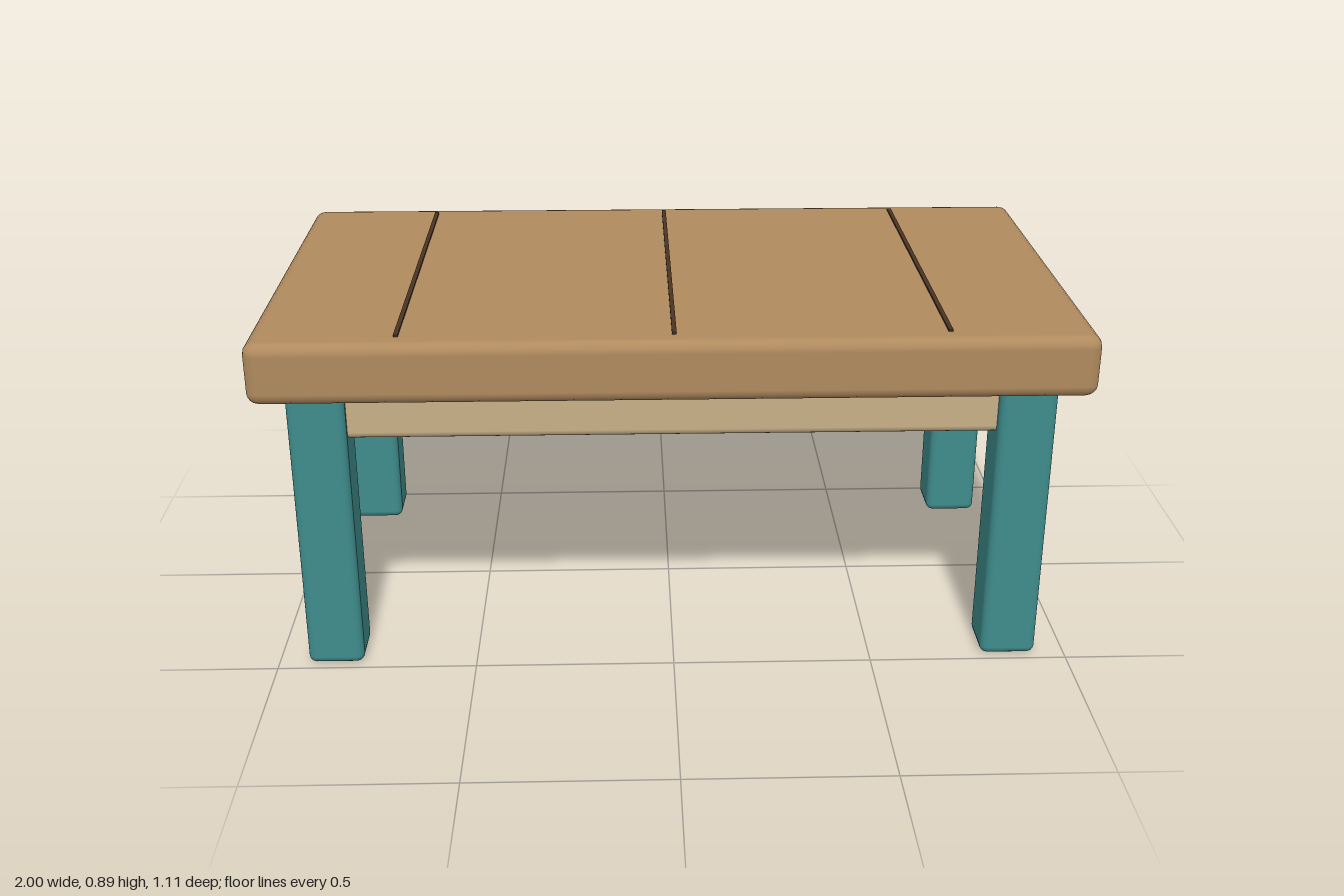
import * as THREE from 'three';
import { RoundedBoxGeometry } from 'three/addons/geometries/RoundedBoxGeometry.js';

export function createModel() {
  const model = new THREE.Group();
  model.name = 'table';

  const wood = new THREE.MeshStandardMaterial({ color: 0xb08a5e });
  const teal = new THREE.MeshStandardMaterial({ color: 0x3f8c8c });
  const paleWood = new THREE.MeshStandardMaterial({ color: 0xc8b088 });
  const darkWood = new THREE.MeshStandardMaterial({ color: 0x4a3422 });

  const add = (name, geometry, material, x, y, z) => {
    const mesh = new THREE.Mesh(geometry, material);
    mesh.name = name;
    mesh.position.set(x, y, z);
    model.add(mesh);
  };

  // Thick top with softened edges
  add('tableTop', new RoundedBoxGeometry(2, 0.153, 1.106, 2, 0.03), wood, 0, 0.8135, 0);

  // Dark plank seams, just proud of the top
  const seam = new THREE.BoxGeometry(0.011, 0.012, 1);
  for (const x of [-0.648, 0, 0.648]) add('plankSeam', seam, darkWood, x, 0.889, 0);

  // Square legs, one in each corner
  const leg = new RoundedBoxGeometry(0.14, 0.736, 0.14, 2, 0.02);
  for (const sx of [-1, 1]) {
    for (const sz of [-1, 1]) add('leg', leg, teal, sx * 0.855, 0.368, sz * 0.412);
  }

  // Apron frame between the legs, tucked up under the top
  const longApron = new RoundedBoxGeometry(1.6, 0.16, 0.12, 2, 0.018);
  const sideApron = new RoundedBoxGeometry(0.14, 0.16, 0.7, 2, 0.018);
  for (const s of [-1, 1]) {
    add('longApron', longApron, paleWood, 0, 0.69, s * 0.395);
    add('sideApron', sideApron, paleWood, s * 0.83, 0.69, 0);
  }

  return model;
}
